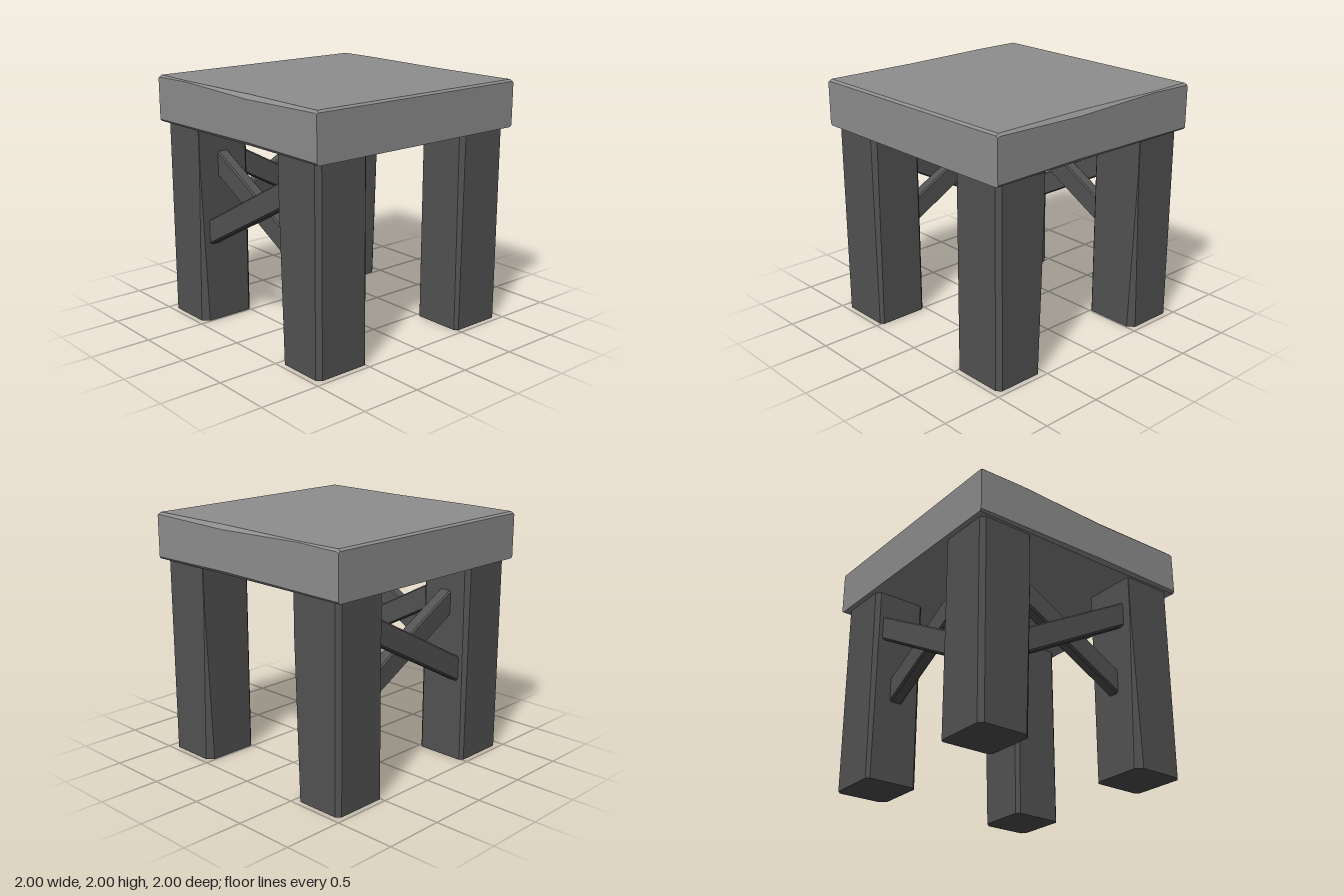
import * as THREE from 'three';

// Skin a row of equal-sized rings, cap both ends, keep every face flat and outward
function loft(rings) {
  const tris = [];
  const n = rings[0].length;
  for (let k = 0; k < rings.length - 1; k++) {
    for (let i = 0; i < n; i++) {
      const j = (i + 1) % n;
      const a = rings[k][i], b = rings[k][j], c = rings[k + 1][j], d = rings[k + 1][i];
      tris.push([a, b, c], [a, c, d]);
    }
  }
  const first = rings[0], last = rings[rings.length - 1];
  for (let i = 1; i < n - 1; i++) {
    tris.push([first[0], first[i + 1], first[i]], [last[0], last[i], last[i + 1]]);
  }
  let volume = 0;
  for (const [a, b, c] of tris) volume += a.dot(b.clone().cross(c));
  const points = tris.flatMap(([a, b, c]) => (volume > 0 ? [a, b, c] : [a, c, b]));
  const geometry = new THREE.BufferGeometry().setFromPoints(points);
  geometry.computeVertexNormals();
  return geometry;
}

// Rectangle with its own cut at each corner: [u0v0, u1v0, u1v1, u0v1]
function cutRect(u0, u1, v0, v1, [a, b, c, d]) {
  return [
    [u0, v0 + a], [u0 + a, v0], [u1 - b, v0], [u1, v0 + b],
    [u1, v1 - c], [u1 - c, v1], [u0 + d, v1], [u0, v1 - d],
  ];
}

const vec = (x, y, z) => new THREE.Vector3(x, y, z);

export function createModel() {
  const model = new THREE.Group();
  model.name = 'stool';
  const seatMaterial = new THREE.MeshStandardMaterial({ color: 0x8e8e8e });
  seatMaterial.name = 'light grey seat';
  const frameMaterial = new THREE.MeshStandardMaterial({ color: 0x535353 });
  frameMaterial.name = 'dark grey frame';

  const add = (name, geometry, material) => {
    const mesh = new THREE.Mesh(geometry, material);
    mesh.name = name;
    model.add(mesh);
  };

  // Seat: worn slab, [x, top height, lower edge cut, upper edge cut]
  const seatSections = [
    [-1, 1.985, 0.015, 0.012],
    [-0.98, 2, 0.016, 0.018],
    [-0.6, 2, 0.02, 0.008],
    [0.2, 2, 0.028, 0.033],
    [0.98, 2, 0.018, 0.018],
    [1, 1.985, 0.015, 0.012],
  ];
  add('seat', loft(seatSections.map(([x, top, low, high]) =>
    cutRect(-1, 1, 1.62, top, [low, low, high, high]).map(([z, y]) => vec(x, y, z)))), seatMaterial);

  // Legs: square posts whose inner edge is worn wider towards the foot
  const legRings = [
    [0, [0.03, 0.025, 0.035, 0.05]],
    [1.3, [0.03, 0.033, 0.035, 0.004]],
    [1.62, [0.03, 0.035, 0.035, 0.003]],
  ];
  for (const [sx, side] of [[1, 'Left'], [-1, 'Right']]) {
    for (const [sz, end] of [[1, 'front'], [-1, 'back']]) {
      const rings = legRings.map(([y, cuts]) =>
        cutRect(0.51, 0.957, 0.485, 0.957, cuts).map(([x, z]) => vec(sx * x, y, sz * z)));
      add(`${end}${side}Leg`, loft(rings), frameMaterial);
    }
  }

  // Braces: slanted bars with upright ends, crossing on the front and the right side
  const brace = (name, half, slope, inner, outer, place) => {
    const profile = cutRect(inner, outer, -0.105, 0.105, [0.012, 0.016, 0.012, 0.012]);
    const rings = [-half, half].map((t) =>
      profile.map(([depth, h]) => place(t, 1.04 + h + slope * t, depth)));
    add(name, loft(rings), frameMaterial);
  };
  const onFront = (t, y, depth) => vec(t, y, depth);
  const onRight = (t, y, depth) => vec(-depth, y, t);
  brace('frontOuterBrace', 0.53, 0.54, 0.78, 0.88, onFront);
  brace('frontInnerBrace', 0.53, -0.54, 0.68, 0.78, onFront);
  brace('rightOuterBrace', 0.51, -0.54, 0.79, 0.89, onRight);
  brace('rightInnerBrace', 0.51, 0.54, 0.68, 0.79, onRight);

  return model;
}
